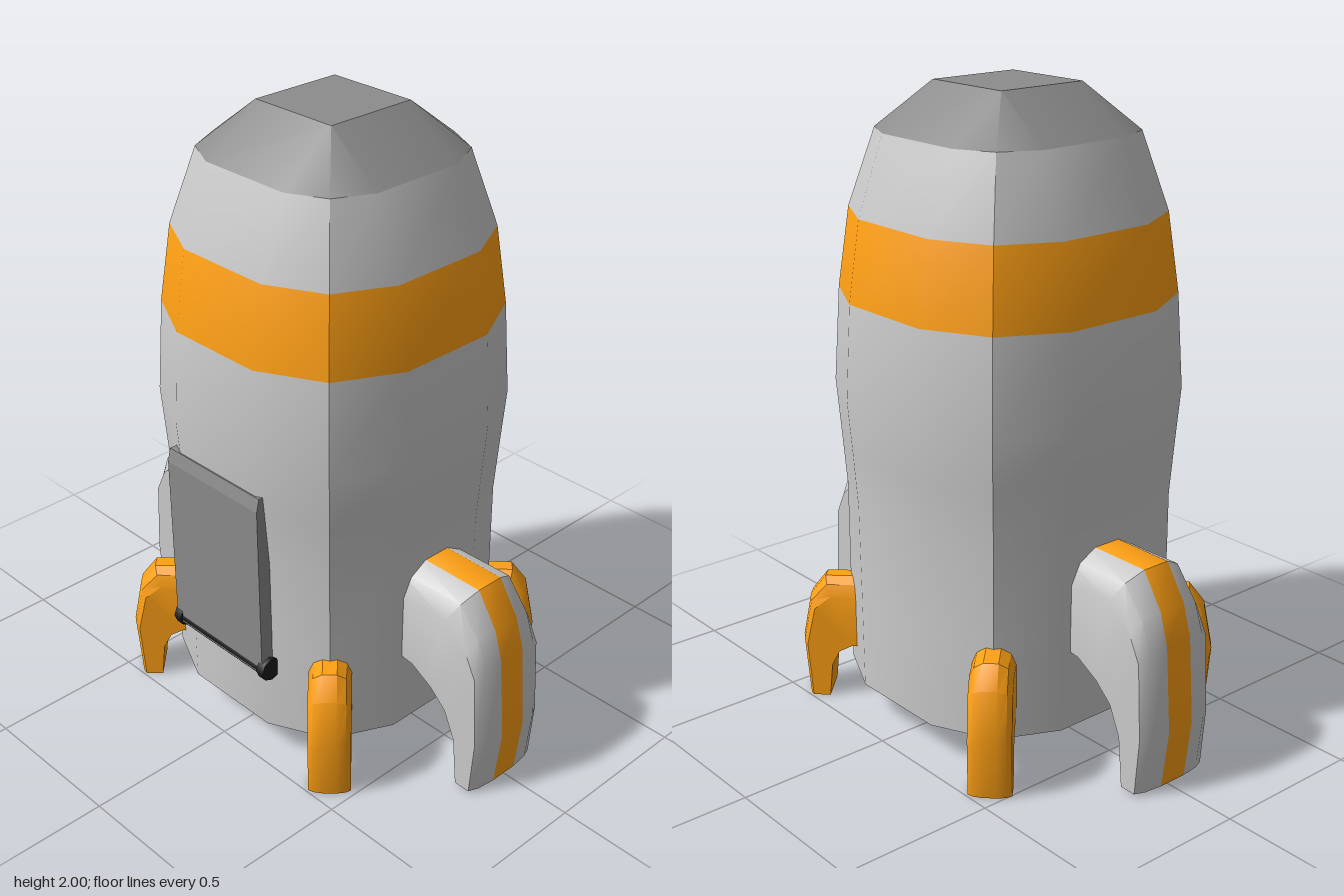
import * as THREE from 'three';
import { toCreasedNormals } from 'three/addons/utils/BufferGeometryUtils.js';

const paint = (color) => new THREE.MeshStandardMaterial({ color });
const grey = paint(0xcccccc);
const darkGrey = paint(0x8c8c8c);
const orange = paint(0xffa014);
const black = paint(0x1c1c1c);

// Skins closed rings of Vector3. partAt(ring, side) picks the named part of each
// quad; normals are shared across parts so the smooth shading runs through.
function loft(rings, parts, partAt) {
  const faces = parts.map(() => []);
  const tri = new THREE.Triangle();
  for (let i = 0; i < rings.length - 1; i++) {
    const n = rings[i].length;
    for (let j = 0; j < n; j++) {
      const k = (j + 1) % n;
      const [a, b, c, d] = [rings[i][j], rings[i][k], rings[i + 1][k], rings[i + 1][j]];
      for (const t of [[a, b, c], [a, c, d]]) {
        if (tri.set(...t).getArea() < 1e-7) continue;
        for (const p of t) faces[partAt(i, j)].push(p.x, p.y, p.z);
      }
    }
  }
  let whole = new THREE.BufferGeometry();
  whole.setAttribute('position', new THREE.Float32BufferAttribute(faces.flat(), 3));
  whole = toCreasedNormals(whole, 0.53);

  const group = new THREE.Group();
  let start = 0;
  parts.forEach(({ name, material }, p) => {
    const end = start + faces[p].length;
    const g = new THREE.BufferGeometry();
    for (const key of ['position', 'normal']) {
      g.setAttribute(key, new THREE.Float32BufferAttribute(whole.attributes[key].array.slice(start, end), 3));
    }
    start = end;
    const mesh = new THREE.Mesh(g, material);
    mesh.name = name;
    group.add(mesh);
  });
  return group;
}

// Twelve-point rounded square: flat at r, flats m either side of centre, corner at c.
function hullRing([y, r, c, m]) {
  const ring = [];
  for (let q = 0; q < 4; q++) {
    for (const [x, z] of [[-m, r], [m, r], [c, c]]) {
      ring.push(new THREE.Vector3(x, y, z).applyAxisAngle(new THREE.Vector3(0, 1, 0), q * Math.PI / 2));
    }
  }
  return ring;
}

function createHull() {
  const rings = [
    [0.15, 0, 0, 0],
    [0.15, 0.17, 0.17, 0.17],
    [0.11, 0.45, 0.36, 0.17],
    [0.42, 0.452, 0.36, 0.17],
    [0.72, 0.455, 0.36, 0.17],
    [0.9, 0.47, 0.37, 0.17],
    [1.07, 0.486, 0.38, 0.17],
    [1.37, 0.47, 0.366, 0.165],
    [1.62, 0.43, 0.34, 0.163],
    [1.86, 0.34, 0.28, 0.16],
    [2.0, 0.155, 0.155, 0.155],
    [2.0, 0, 0, 0],
  ].map(hullRing);
  const parts = [
    { name: 'base', material: black },
    { name: 'hull', material: grey },
    { name: 'hullBand', material: orange },
    { name: 'noseCap', material: darkGrey },
  ];
  const hull = loft(rings, parts, (i) => (i < 2 ? 0 : i === 7 ? 2 : i < 9 ? 1 : 3));
  hull.name = 'body';
  return hull;
}

// Fin reaching out along +x: each station is [outer x, outer y, inner x, inner y, bevel].
function createFin(name, stations, width, material, stripeMaterial) {
  const rings = stations.map(([ox, oy, ix, iy, bevel]) => {
    const outer = new THREE.Vector3(ox, oy, 0);
    const inner = new THREE.Vector3(ix, iy, 0);
    const inward = inner.clone().sub(outer).normalize();
    const at = (base, depth, z) => base.clone().addScaledVector(inward, depth).setZ(z * width);
    return [
      at(outer, 0, -0.34), at(outer, 0, 0.34),
      at(outer, bevel * 0.35, 0.77), at(outer, bevel, 1), at(inner, 0, 1),
      at(inner, 0, -1), at(outer, bevel, -1), at(outer, bevel * 0.35, -0.77),
    ];
  });
  // close the foot
  const foot = rings[rings.length - 1];
  const centre = foot.reduce((s, p) => s.add(p), new THREE.Vector3()).divideScalar(foot.length);
  rings.push(foot.map(() => centre));
  const parts = [{ name: name + 'Blade', material }, { name: name + 'Stripe', material: stripeMaterial }];
  const fin = loft(rings, parts, (i, j) => (j === 0 && i < stations.length - 1 ? 1 : 0));
  fin.name = name;
  return fin;
}

const sideFin = [
  [0.40, 0.68, 0.40, 0.37, 0.1],
  [0.665, 0.678, 0.49, 0.36, 0.1],
  [0.735, 0.57, 0.57, 0.315, 0.06],
  [0.765, 0.47, 0.63, 0.26, 0.04],
  [0.785, 0.2, 0.67, 0.17, 0.03],
  [0.76, 0.01, 0.685, 0.01, 0.02],
];
const cornerFin = [
  [0.42, 0.412, 0.42, 0.19, 0.06],
  [0.585, 0.41, 0.5, 0.18, 0.06],
  [0.635, 0.345, 0.54, 0.16, 0.04],
  [0.662, 0.2, 0.565, 0.11, 0.025],
  [0.645, 0, 0.575, 0, 0.015],
];

// Hatch leaning on the front, with its hinge bar along the lower edge
function createHatch() {
  const hatch = new THREE.Group();
  hatch.name = 'hatch';
  const profile = new THREE.Shape([
    [0.4, 0.33], [0.493, 0.33], [0.498, 0.92], [0.488, 0.963], [0.4, 0.963],
  ].map(([z, y]) => new THREE.Vector2(z, y)));
  const panel = new THREE.Mesh(
    new THREE.ExtrudeGeometry(profile, { depth: 0.405, bevelEnabled: false }).rotateY(-Math.PI / 2), darkGrey);
  panel.position.x = 0.186;
  panel.name = 'hatchPanel';
  hatch.add(panel);
  const bar = (name, radius, length, x) => {
    const mesh = new THREE.Mesh(
      toCreasedNormals(new THREE.CylinderGeometry(radius, radius, length, 8).rotateZ(Math.PI / 2), 0.9), black);
    mesh.position.set(x, 0.345, 0.465);
    mesh.name = name;
    hatch.add(mesh);
  };
  bar('hatchHinge', 0.032, 0.41, -0.012);
  for (const side of [-1, 1]) bar('hingeEnd', 0.039, 0.03, -0.012 + side * 0.197);
  return hatch;
}

export function createModel() {
  const model = new THREE.Group();
  model.name = 'rocket';

  const hull = createHull();
  hull.position.set(-0.005, 0, 0.008);
  model.add(hull, createHatch());

  for (let k = 0; k < 2; k++) {
    const fin = createFin(k ? 'rightFin' : 'leftFin', sideFin, 0.14, grey, orange);
    fin.rotation.y = k * Math.PI;
    fin.position.z = 0.01;
    model.add(fin);
  }
  for (let k = 0; k < 4; k++) {
    const fin = createFin('cornerFin', cornerFin, 0.066, orange, orange);
    fin.rotation.y = Math.PI / 4 + k * Math.PI / 2;
    fin.position.x = -0.012;
    model.add(fin);
  }
  return model;
}
